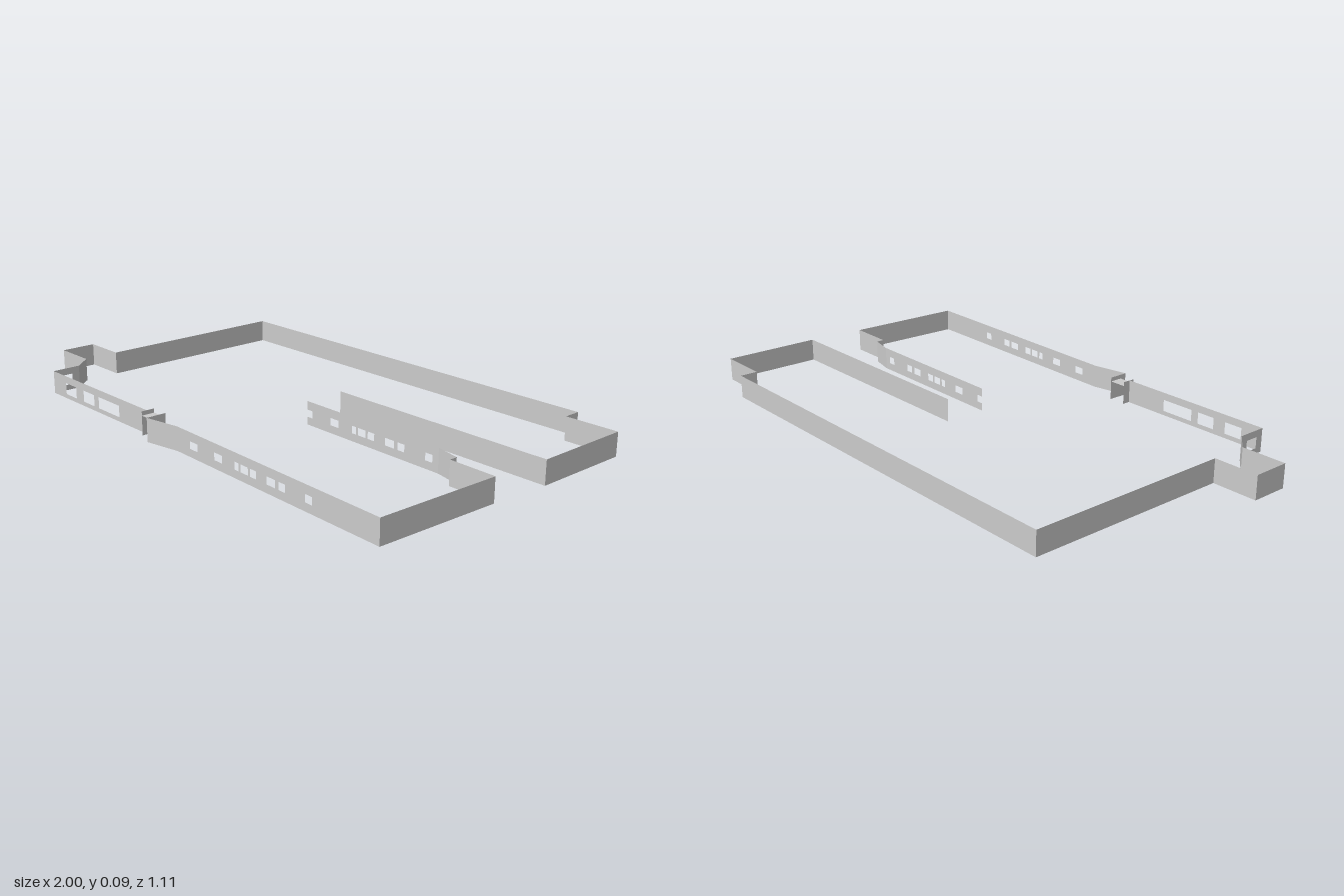
import * as THREE from 'three';

const H = 0.085;
const material = new THREE.MeshStandardMaterial({ color: 0xcccccc, side: THREE.DoubleSide, flatShading: true });

// Upright sheet from plan point p to q; holes are [x0, x1, y0, y1] measured along the sheet.
// A hole that reaches past the start becomes an open notch.
function panel(name, p, q, holes = []) {
  const dx = q[0] - p[0], dz = q[1] - p[1];
  const length = Math.hypot(dx, dz);
  const shape = new THREE.Shape();
  shape.moveTo(0, 0);
  shape.lineTo(length, 0);
  shape.lineTo(length, H);
  shape.lineTo(0, H);
  for (const [x0, x1, y0, y1] of holes) {
    if (x0 <= 0) {
      shape.lineTo(0, y1);
      shape.lineTo(x1, y1);
      shape.lineTo(x1, y0);
      shape.lineTo(0, y0);
    } else {
      const hole = new THREE.Path();
      hole.moveTo(x0, y0);
      hole.lineTo(x0, y1);
      hole.lineTo(x1, y1);
      hole.lineTo(x1, y0);
      hole.closePath();
      shape.holes.push(hole);
    }
  }
  shape.closePath();
  const mesh = new THREE.Mesh(new THREE.ShapeGeometry(shape), material);
  mesh.name = name;
  mesh.position.set(p[0], 0, p[1]);
  mesh.rotation.y = Math.atan2(-dz, dx);
  return mesh;
}

// Chain of sheets through plan points
function wall(name, points) {
  const group = new THREE.Group();
  group.name = name;
  for (let i = 1; i < points.length; i++) group.add(panel(name + 'Panel' + i, points[i - 1], points[i]));
  return group;
}

// Turns openings given in x into openings measured from a panel's start
const from = (x, spans, y0, y1) => spans.map(([a, b]) => [a - x, b - x, y0, y1]);

export function createModel() {
  const model = new THREE.Group();
  model.name = 'perimeterBand';

  const smallPorts = [[0.10, 0.14], [0.23, 0.27], [0.335, 0.355], [0.365, 0.40],
    [0.41, 0.44], [0.49, 0.53], [0.545, 0.575], [0.665, 0.695]];
  const largePorts = [[-0.69, -0.62], [-0.57, -0.50], [-0.47, -0.34]];

  // Rear run: inner tongue, stepped corner, long back, right end and its bump
  model.add(wall('rearWall', [
    [0.11, -0.12], [1, -0.12], [1, -0.49], [0.80, -0.49], [0.80, -0.556],
    [-0.835, -0.556], [-0.835, 0.195], [-1, 0.195], [-1, 0.33], [-0.835, 0.33], [-0.775, 0.40],
  ]));
  model.add(panel('sidePortWall', [-0.775, 0.40], [-0.775, 0.508], [[0.03, 0.08, 0.02, 0.06]]));

  // Front run with large openings
  model.add(panel('largePortWall', [-0.775, 0.508], [-0.17, 0.51], from(-0.775, largePorts, 0.016, 0.058)));

  // Small open box between the front runs
  model.add(wall('boxRightCheek', [[-0.17, 0.53], [-0.17, 0.48]]));
  model.add(wall('boxLeftCheek', [[-0.105, 0.48], [-0.105, 0.555]]));
  const roof = new THREE.Mesh(new THREE.PlaneGeometry(0.065, 0.05), material);
  roof.name = 'boxRoof';
  roof.rotation.x = -Math.PI / 2;
  roof.position.set(-0.1375, 0.07, 0.505);
  model.add(roof);

  // Front run with small openings, then the left end and its inner tongue
  model.add(wall('frontJog', [[-0.105, 0.555], [0.03, 0.53]]));
  model.add(panel('smallPortWall', [0.03, 0.53], [0.97, 0.556], from(0.03, smallPorts, 0.028, 0.054)));
  model.add(wall('leftEndWall', [[0.97, 0.556], [0.985, 0.10], [0.81, 0.097], [0.81, 0.067], [0.72, 0.046]]));
  model.add(panel('innerPortWall', [0.115, 0.04], [0.72, 0.046], from(0.115, smallPorts, 0.028, 0.054)));

  return model;
}
